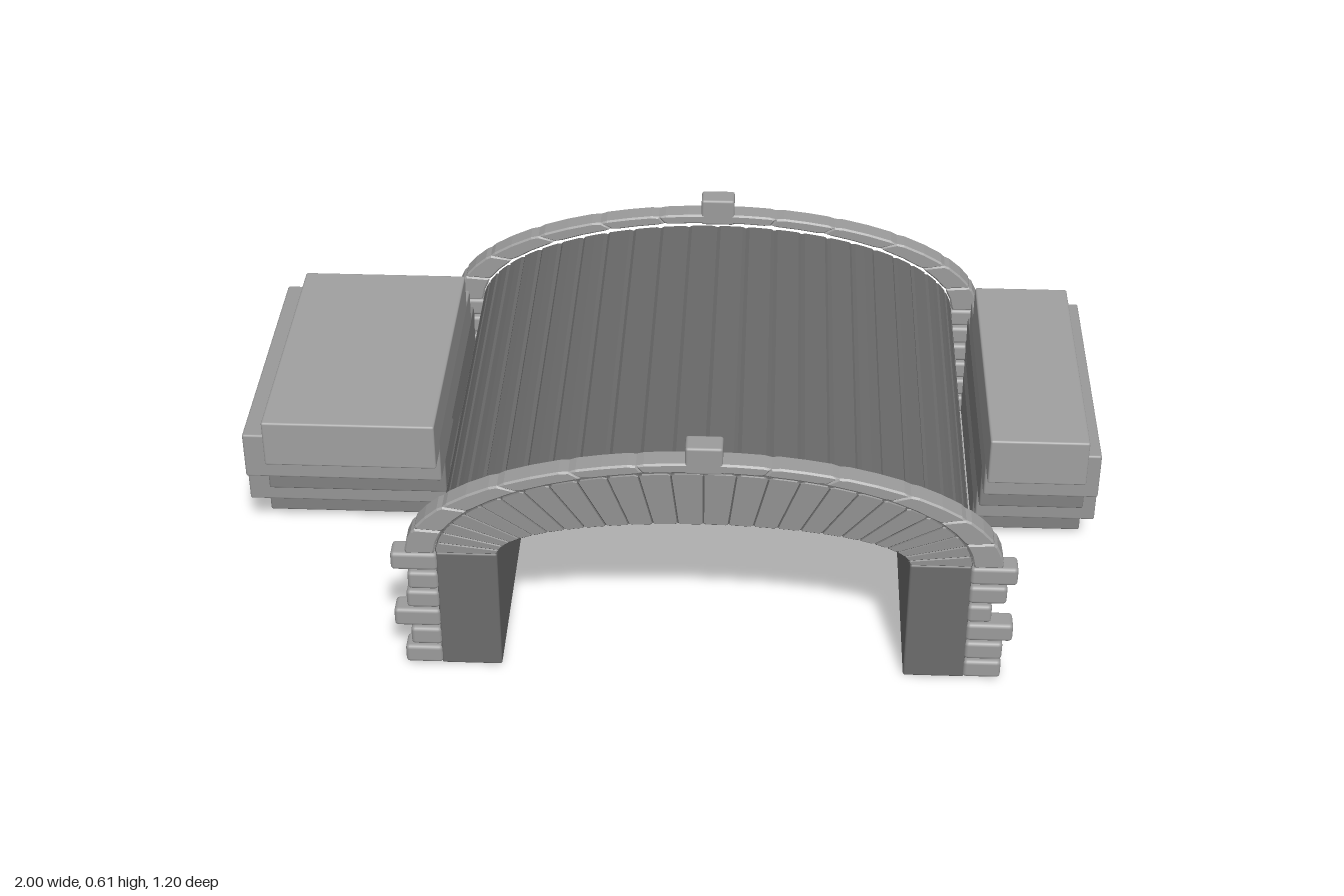
import * as THREE from 'three';
import { RoundedBoxGeometry } from 'three/addons/geometries/RoundedBoxGeometry.js';

const grey = (color) => new THREE.MeshStandardMaterial({ color });
const WALL = grey(0x6c6c6c);
const VAULT = [grey(0x929292), grey(0x696969)];  // stone ends, long faces
const TRIM = grey(0x9c9c9c);
const STEPS = [0x828282, 0x969696, 0x828282, 0x9a9a9a, 0xa0a0a0].map(grey);  // bottom to top

const CX = 0.0925;    // middle of the arch
const SPRING = 0.31;  // height where the arch starts
const FRONT = 0.595, BACK = -0.443;

export function createModel() {
  const model = new THREE.Group();

  const add = (parent, name, geometry, material) => {
    const mesh = new THREE.Mesh(geometry, material);
    mesh.name = name;
    parent.add(mesh);
    return mesh;
  };

  const group = (name) => {
    const g = new THREE.Group();
    g.name = name;
    model.add(g);
    return g;
  };

  // softly bevelled box given by its limits
  const block = (parent, name, material, x0, x1, y0, y1, z0, z1, r = 0.005) => {
    const g = new RoundedBoxGeometry(x1 - x0, y1 - y0, z1 - z0, 2, r);
    add(parent, name, g, material).position.set((x0 + x1) / 2, (y0 + y1) / 2, (z0 + z1) / 2);
  };

  // wedge between two ellipses from angle t0 to t1 (0 = top of the arch), with chamfered long edges
  const wedge = (parent, name, material, inner, outer, t0, t1, z0, z1, bevel, chamfer) => {
    const side = ([a, b], inset) => [0, 0.12, 0.5, 0.88, 1].map((f) => {
      const t = t0 + (t1 - t0) * f;
      const d = f === 0 || f === 1 ? inset : 0;
      return new THREE.Vector2(CX + (a + d) * Math.sin(t), SPRING + (b + d) * Math.cos(t));
    });
    const shape = new THREE.Shape([...side(inner, chamfer), ...side(outer, -chamfer).reverse()]);
    const g = new THREE.ExtrudeGeometry(shape, {
      depth: z1 - z0 - 2 * bevel, steps: 1, bevelEnabled: true, bevelSegments: 1,
      bevelSize: bevel, bevelThickness: bevel, bevelOffset: -bevel,
    });
    g.translate(0, 0, z0 + bevel);
    add(parent, name, g, material);
  };

  // two long side walls carrying the vault
  const walls = group('walls');
  block(walls, 'rightWall', WALL, -0.49, -0.355, 0, SPRING, BACK, FRONT);
  block(walls, 'leftWall', WALL, 0.54, 0.675, 0, SPRING, BACK, FRONT);

  // vault of long wedge stones
  const vault = group('vault');
  const count = 26;
  for (let i = 0; i < count; i++) {
    const t = -Math.PI / 2 + (i * Math.PI) / count;
    wedge(vault, 'vaultStone', VAULT, [0.447, 0.095], [0.583, 0.23], t, t + Math.PI / count, BACK, FRONT, 0.002, 0.004);
  }

  // raised rim, keystone and side bricks at both ends
  const rimAngles = [0, 0.224, 0.46, 0.75, 1.05, 1.31, 1.57];
  const rightBricks = [-0.57, -0.555, -0.59, -0.56, -0.555, -0.59];
  const leftBricks = [0.755, 0.755, 0.775, 0.725, 0.755, 0.775];
  for (const [name, z0, z1] of [['frontTrim', 0.548, 0.6], ['backTrim', -0.495, -0.443]]) {
    const trim = group(name);
    for (let i = 0; i < 6; i++) {
      for (const side of [-1, 1]) {
        const [t0, t1] = [side * rimAngles[i], side * rimAngles[i + 1]].sort((a, b) => a - b);
        wedge(trim, 'rimStone', TRIM, [0.584, 0.234], [0.65, 0.258], t0, t1, z0, z1, 0.004, 0.003);
      }
      const y = 0.003 + i * 0.052;
      block(trim, 'rightBrick', TRIM, rightBricks[i], -0.487, y, y + 0.046, z0, z1, 0.009);
      block(trim, 'leftBrick', TRIM, 0.672, leftBricks[i], y, y + 0.046, z0, z1, 0.009);
    }
    block(trim, 'keystone', TRIM, 0.053, 0.133, 0.54, 0.608, z0, z1, 0.006);
  }

  // stepped slabs on either side, each shifted forward from the one below
  const steps = group('steps');
  const rightEnds = [-0.97, -1, -0.935, -0.97, -0.907];
  const leftEnds = [0.978, 1, 0.96, 0.98, 0.94];
  STEPS.forEach((material, i) => {
    const y = 0.005 + i * 0.084, z = -0.6 + i * 0.0705;
    block(steps, 'rightStep', material, rightEnds[i], -0.518, y, y + 0.115, z, z + 0.647);
    block(steps, 'leftStep', material, 0.72, leftEnds[i], y, y + 0.115, z, z + 0.647);
  });

  return model;
}
